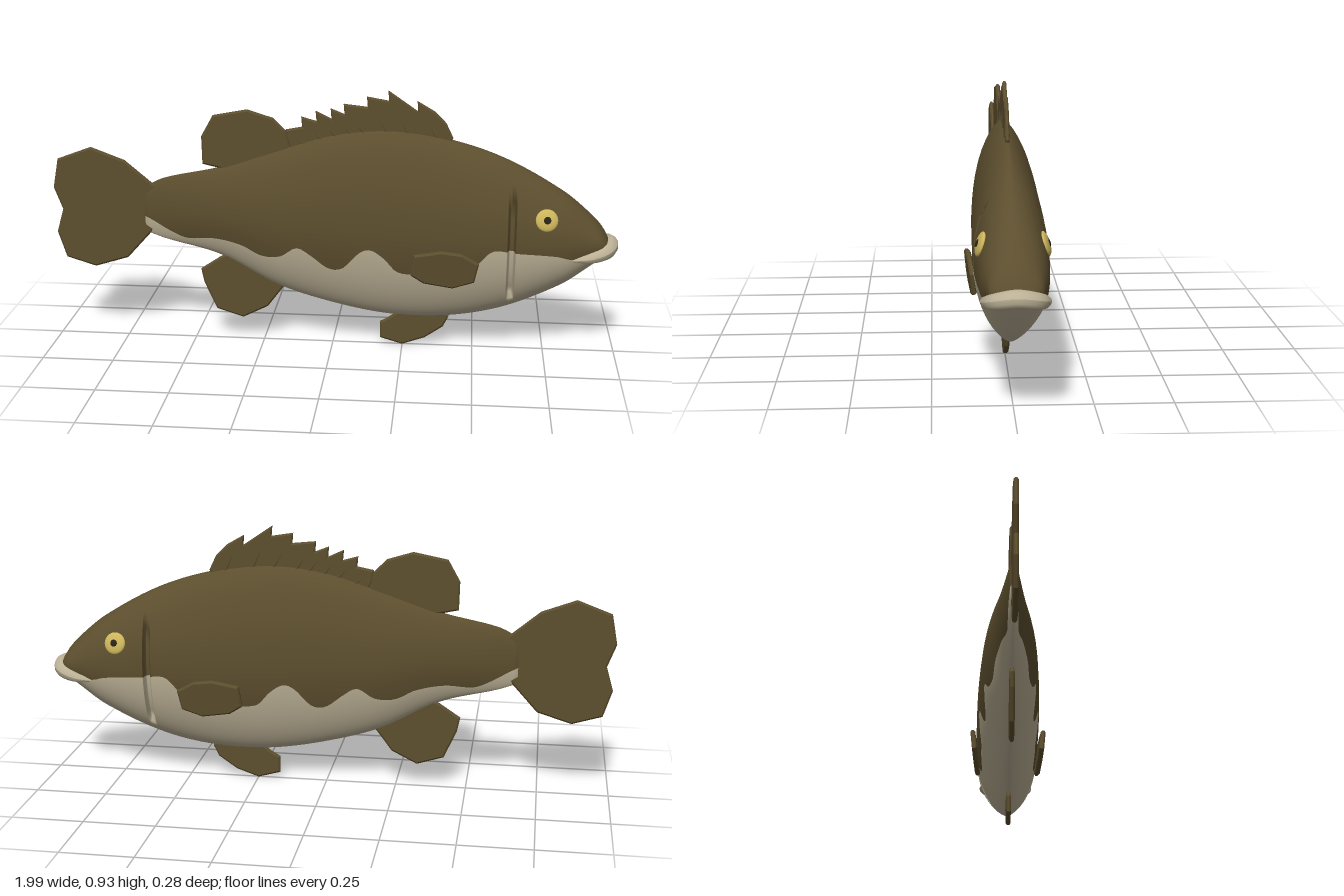
import * as THREE from 'three';

const mat = (name, color, side = THREE.FrontSide) => {
  const m = new THREE.MeshStandardMaterial({ color, side });
  m.name = name;
  return m;
};

// Smooth interpolation through rows of [x, a, b, ...]
function sampler(rows) {
  const slope = (i, k) => {
    const a = rows[Math.max(i - 1, 0)], b = rows[Math.min(i + 1, rows.length - 1)];
    return (b[k] - a[k]) / (b[0] - a[0]);
  };
  return (x) => {
    let i = 0;
    while (i < rows.length - 2 && x > rows[i + 1][0]) i++;
    const p = rows[i], q = rows[i + 1], h = q[0] - p[0];
    const t = THREE.MathUtils.clamp((x - p[0]) / h, 0, 1), t2 = t * t, t3 = t2 * t;
    return p.slice(1).map((v, n) => (2 * t3 - 3 * t2 + 1) * v + (t3 - 2 * t2 + t) * h * slope(i, n + 1)
      + (3 * t2 - 2 * t3) * q[n + 1] + (t3 - t2) * h * slope(i + 1, n + 1));
  };
}

// Body: x, top, bottom, half width
const bodyAt = sampler([
  [-0.67, 0.565, 0.4, 0.012], [-0.6, 0.6, 0.375, 0.022], [-0.4, 0.645, 0.32, 0.052],
  [-0.2, 0.71, 0.215, 0.086], [0, 0.772, 0.153, 0.102], [0.2, 0.792, 0.117, 0.112],
  [0.4, 0.765, 0.117, 0.116], [0.6, 0.7, 0.158, 0.118], [0.8, 0.588, 0.25, 0.107],
  [0.9, 0.505, 0.325, 0.088], [0.94, 0.46, 0.36, 0.074], [0.965, 0.415, 0.385, 0.04]]);

// Height of the wavy edge between back and belly
const edgeAt = sampler([
  [-0.67, 0.46], [-0.64, 0.445], [-0.58, 0.41], [-0.52, 0.385], [-0.42, 0.392], [-0.32, 0.375],
  [-0.25, 0.342], [-0.18, 0.345], [-0.12, 0.382], [-0.07, 0.355], [-0.01, 0.31], [0.04, 0.312],
  [0.1, 0.375], [0.14, 0.388], [0.19, 0.355], [0.23, 0.31], [0.3, 0.3], [0.46, 0.285],
  [0.52, 0.36], [0.56, 0.4], [0.64, 0.395], [0.78, 0.385], [0.84, 0.372], [0.92, 0.395], [0.965, 0.405]]);

const roundness = (x) => 1.4 - 0.35 * THREE.MathUtils.smoothstep(x, 0.4, 0.92);

// Half width of the body at a given x and height
function halfWidth(x, y) {
  const [top, low, w] = bodyAt(x);
  const t = THREE.MathUtils.clamp((2 * y - top - low) / (top - low), -1, 1);
  return w * Math.pow(Math.max(0, 1 - t * t), roundness(x) / 2);
}

function bodyGeometry() {
  const half = 24, ring = half * 2, xs = [];
  for (let i = 0; i <= 110; i++) xs.push(-0.67 + 1.635 * i / 110);
  xs.push(0.611, 0.616, 0.62, 0.63, 0.634, 0.639); // gill slit walls
  xs.sort((a, b) => a - b);
  const pos = [], index = [[], []];
  xs.forEach((x) => {
    const [top, low] = bodyAt(x), mid = (top + low) / 2, r = (top - low) / 2;
    const a0 = Math.asin(THREE.MathUtils.clamp((edgeAt(x)[0] - mid) / r, -0.95, 0.95));
    for (let k = 0; k < ring; k++) {
      const a = k < half ? a0 + (Math.PI - 2 * a0) * k / half
        : Math.PI - a0 + (Math.PI + 2 * a0) * (k - half) / half;
      const y = mid + r * Math.sin(a);
      let z = halfWidth(x, y);
      if (x > 0.613 && x < 0.637 && y > 0.23 && y < 0.57) z = Math.max(0.01, z - 0.026);
      pos.push(x, y, Math.cos(a) < 0 ? -z : z);
    }
  });
  for (let i = 0; i < xs.length - 1; i++) for (let k = 0; k < ring; k++) {
    const a = i * ring + k, b = i * ring + (k + 1) % ring;
    index[k < half ? 0 : 1].push(a, a + ring, b, b, a + ring, b + ring);
  }
  // close both ends
  [0, xs.length - 1].forEach((i) => {
    const [top, low] = bodyAt(xs[i]), c = pos.length / 3, s = i * ring;
    pos.push(xs[i], (top + low) / 2, 0);
    for (let k = 0; k < ring; k++) {
      const a = s + k, b = s + (k + 1) % ring;
      index[k < half ? 0 : 1].push(...(i ? [c, b, a] : [c, a, b]));
    }
  });
  const g = new THREE.BufferGeometry();
  g.setAttribute('position', new THREE.Float32BufferAttribute(pos, 3));
  // outward winding: ring runs +z -> top -> -z
  const flip = (l) => { for (let i = 0; i < l.length; i += 3) [l[i + 1], l[i + 2]] = [l[i + 2], l[i + 1]]; };
  const p = (n) => new THREE.Vector3().fromArray(pos, n * 3);
  const s = 50 * ring + 2, n = p(s + ring).sub(p(s)).cross(p(s + 1).sub(p(s)));
  if (n.z < 0 && p(s).z > 0) index.forEach(flip);
  g.setIndex(index.flat());
  g.addGroup(0, index[0].length, 0);
  g.addGroup(index[0].length, index[1].length, 1);
  g.computeVertexNormals();
  return g;
}

// Thin plate fin from an outline in x and y
function finGeometry(points, thick = 0.012) {
  const shape = new THREE.Shape(points.map((p) => new THREE.Vector2(...p)));
  const g = new THREE.ExtrudeGeometry(shape, {
    depth: thick * 0.4, bevelEnabled: true, bevelThickness: thick * 0.3,
    bevelSize: 0.006, bevelOffset: -0.006, bevelSegments: 1 });
  return g.translate(0, 0, -thick * 0.2);
}

export function createModel() {
  const model = new THREE.Group();
  const back = mat('olive back', 0x5c4e2e);
  const belly = mat('cream belly', 0xbcb196);
  const iris = mat('yellow iris', 0xcdb65c);
  const dark = mat('dark pupil', 0x2a2416);
  const add = (name, geometry, material, parent = model) => {
    const m = new THREE.Mesh(geometry, material);
    m.name = name;
    parent.add(m);
    return m;
  };

  add('body', bodyGeometry(), [back, belly]);

  // Fins on the centre line
  const fins = {
    tailFin: [[-0.6, 0.55], [-0.645, 0.58], [-0.74, 0.66], [-0.86, 0.705], [-0.98, 0.66], [-1, 0.555],
      [-0.97, 0.475], [-0.995, 0.39], [-0.965, 0.295], [-0.86, 0.263], [-0.74, 0.3], [-0.65, 0.4], [-0.6, 0.45]],
    softDorsalFin: [[-0.3, 0.62], [-0.46, 0.655], [-0.462, 0.755], [-0.42, 0.83], [-0.3, 0.853],
      [-0.21, 0.825], [-0.165, 0.78], [-0.14, 0.69]],
    analFin: [[-0.34, 0.34], [-0.4, 0.315], [-0.475, 0.265], [-0.465, 0.215], [-0.42, 0.115],
      [-0.325, 0.085], [-0.235, 0.13], [-0.175, 0.21], [-0.17, 0.25]],
    pelvicFin: [[0.25, 0.14], [0.2, 0.102], [0.17, 0.085], [0.17, 0.025], [0.25, 0.002], [0.33, 0.03],
      [0.395, 0.075], [0.415, 0.115], [0.4, 0.14]],
  };
  for (const [name, outline] of Object.entries(fins)) add(name, finGeometry(outline, 0.016), back);

  // Spiny dorsal fin: saw-toothed plate with raised spines
  const tips = [[0.29, 0.895], [0.19, 0.93], [0.117, 0.907], [0.037, 0.88], [-0.008, 0.863],
    [-0.06, 0.853], [-0.11, 0.832], [-0.165, 0.785]];
  const saw = [[0.4, 0.74], [0.415, 0.768], [0.39, 0.82], [0.35, 0.86]];
  tips.forEach(([x, y]) => saw.push([x, y], [x + 0.003, y - 0.036]));
  saw.push([-0.14, 0.7]);
  add('spinyDorsalFin', finGeometry(saw, 0.014), back);
  const up = new THREE.Vector3(0, 1, 0);
  tips.forEach(([x, y]) => {
    const bx = x + 0.075, a = new THREE.Vector3(bx, bodyAt(bx)[0] - 0.015, 0), b = new THREE.Vector3(x + 0.004, y - 0.006, 0);
    const spine = add('dorsalSpine', new THREE.CylinderGeometry(0.004, 0.011, a.distanceTo(b), 6), back);
    spine.quaternion.setFromUnitVectors(up, b.clone().sub(a).normalize());
    spine.position.copy(a).add(b).multiplyScalar(0.5);
  });

  // Pectoral fins and eyes, one on each side
  const pectoral = [[0, 0.025], [-0.06, 0.06], [-0.13, 0.07], [-0.225, 0.055], [-0.235, -0.02],
    [-0.19, -0.05], [-0.09, -0.068], [-0.015, -0.045]];
  for (const side of [1, -1]) {
    const fin = add('pectoralFin', finGeometry(pectoral, 0.018), back);
    fin.position.set(0.515, 0.33, side * 0.114);
    fin.rotation.set(side * 0.1, side * 0.05, 0);

    const eye = new THREE.Group();
    eye.name = 'eye';
    const ex = 0.74, ey = 0.512, d = 0.01;
    const z = halfWidth(ex, ey);
    const normal = new THREE.Vector3(-(halfWidth(ex + d, ey) - z) / d, -(halfWidth(ex, ey + d) - z) / d, side);
    eye.position.set(ex, ey, side * z);
    eye.quaternion.setFromUnitVectors(new THREE.Vector3(0, 0, 1), normal.normalize());
    add('iris', new THREE.SphereGeometry(0.039, 24, 12).scale(1, 1, 0.3), iris, eye);
    add('pupil', new THREE.SphereGeometry(0.013, 16, 8).scale(1, 1, 0.25), dark, eye).position.z = 0.0105;
    model.add(eye);
  }

  // Lips: a tube around the snout, thinning towards the mouth corners
  const path = new THREE.CatmullRomCurve3([[0.835, 0.368, 0.094], [0.9, 0.378, 0.086], [0.95, 0.394, 0.058],
    [0.966, 0.404, 0], [0.95, 0.394, -0.058], [0.9, 0.378, -0.086], [0.835, 0.368, -0.094]]
    .map((p) => new THREE.Vector3(...p)));
  const segs = 40, sides = 12, lip = new THREE.TubeGeometry(path, segs, 0.029, sides);
  const v = new THREE.Vector3(), p = lip.attributes.position;
  for (let i = 0; i < p.count; i++) {
    const u = Math.floor(i / (sides + 1)) / segs, c = path.getPointAt(u);
    v.fromBufferAttribute(p, i).sub(c).multiplyScalar(0.12 + 0.88 * Math.pow(Math.sin(Math.PI * u), 0.8)).add(c);
    p.setXYZ(i, v.x, v.y, v.z);
  }
  lip.computeVertexNormals();
  add('lips', lip, belly);
  return model;
}
